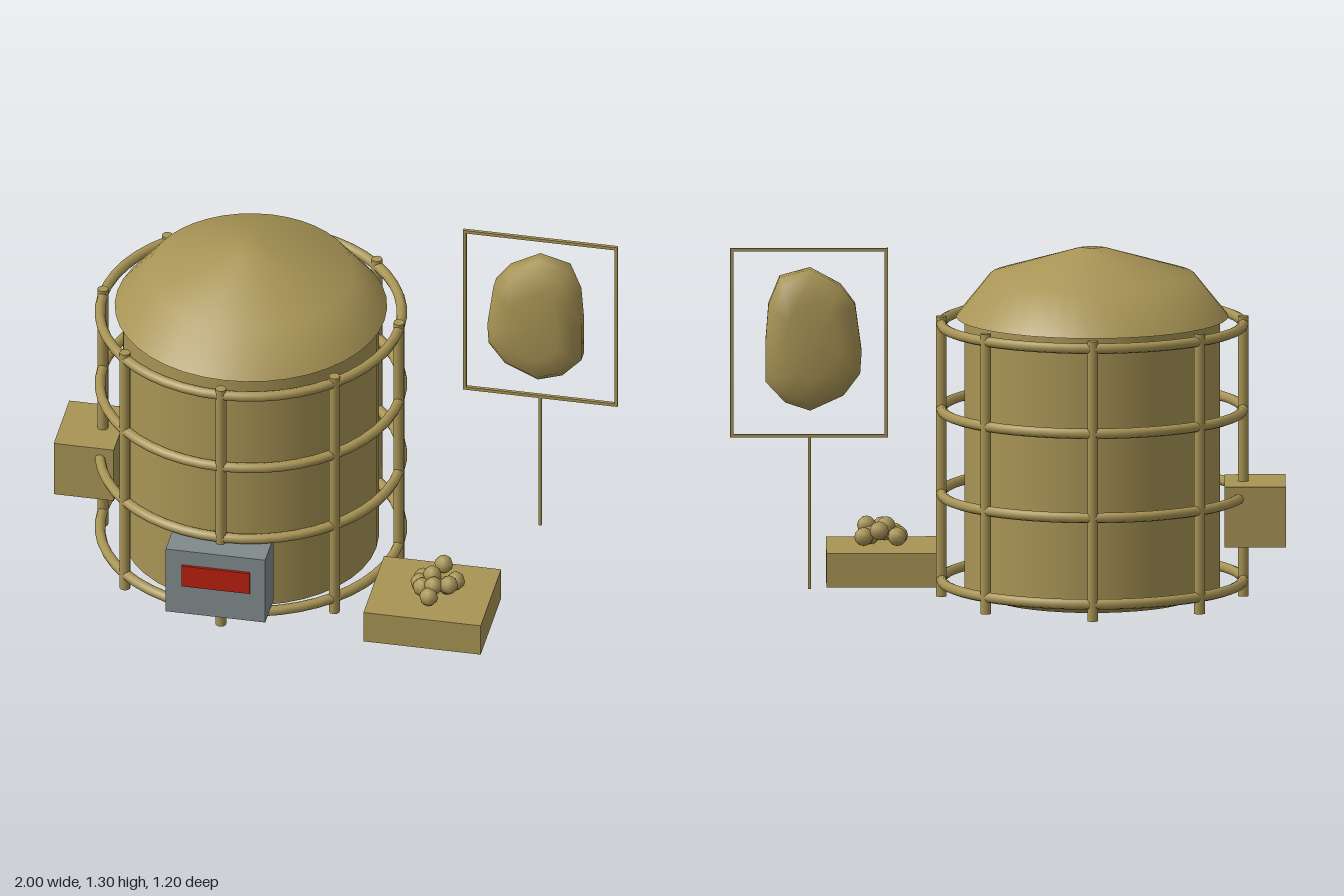
import * as THREE from 'three';

const brass = new THREE.MeshStandardMaterial({ color: 0xa89455 });
brass.name = 'brass';
const steel = new THREE.MeshStandardMaterial({ color: 0x808a8c });
steel.name = 'steel';
const red = new THREE.MeshStandardMaterial({ color: 0xb82010 });
red.name = 'red';

function add(parent, name, geometry, material, x = 0, y = 0, z = 0) {
  const mesh = new THREE.Mesh(geometry, material);
  mesh.name = name;
  mesh.position.set(x, y, z);
  parent.add(mesh);
  return mesh;
}

// Box given by its min and max corners
function box(parent, name, material, a, b) {
  const s = b.map((v, i) => v - a[i]);
  const c = b.map((v, i) => (v + a[i]) / 2);
  return add(parent, name, new THREE.BoxGeometry(...s), material, ...c);
}

const lathe = (pts) => new THREE.LatheGeometry(pts.map((p) => new THREE.Vector2(...p)), 40);

// Closed faceted stone lofted from scaled copies of one outline
function stoneGeometry() {
  const outline = [[0.71, 1.23], [0.6, 1.17], [0.548, 1.1], [0.525, 0.93], [0.53, 0.85], [0.59, 0.77],
    [0.71, 0.715], [0.8, 0.745], [0.87, 0.82], [0.87, 0.97], [0.86, 1.1], [0.82, 1.2]];
  const cx = 0.7, cy = 0.97, n = outline.length;
  const rings = [[0.55, 0.08], [0.87, 0.062], [1, 0.025], [1, -0.025], [0.87, -0.062], [0.55, -0.08]];
  const pos = [], idx = [];
  for (const [s, z] of rings)
    for (const [x, y] of outline) pos.push((x - cx) * s, (y - cy) * s, z);
  for (let r = 0; r < rings.length - 1; r++)
    for (let i = 0; i < n; i++) {
      const a = r * n + i, b = r * n + (i + 1) % n;
      idx.push(a, a + n, b, b, a + n, b + n);
    }
  const front = pos.length / 3, back = front + 1, last = (rings.length - 1) * n;
  pos.push(0, 0, 0.084, 0, 0, -0.084);
  for (let i = 0; i < n; i++) {
    const j = (i + 1) % n;
    idx.push(front, i, j, back, last + j, last + i);
  }
  const g = new THREE.BufferGeometry();
  g.setAttribute('position', new THREE.Float32BufferAttribute(pos, 3));
  g.setIndex(idx);
  g.computeVertexNormals();
  return g;
}

export function createModel() {
  const model = new THREE.Group();
  model.name = 'cagedTank';

  // Tank with domed lid and shallow rounded base
  const tank = new THREE.Group();
  tank.name = 'tank';
  tank.position.set(-0.305, 0, -0.038);
  model.add(tank);
  add(tank, 'tankWall', new THREE.CylinderGeometry(0.46, 0.46, 0.99, 40, 1, true), brass, 0, 0.525, 0);
  add(tank, 'tankBase', lathe([[0, 0], [0.37, 0], [0.46, 0.03]]), brass);
  add(tank, 'lid', lathe([[0.49, 1.02], [0.37, 1.17], [0.06, 1.265], [0, 1.265]]), brass);
  add(tank, 'lidUnderside', lathe([[0.45, 1.02], [0.49, 1.02]]), brass);

  // Cage of hoops and posts
  const cage = new THREE.Group();
  cage.name = 'cage';
  tank.add(cage);
  const R = 0.543;
  for (const y of [0.06, 0.375, 0.682, 0.992])
    add(cage, 'hoop', new THREE.TorusGeometry(R, 0.019, 8, 48), brass, 0, y, 0).rotation.x = Math.PI / 2;
  for (let i = 0; i < 8; i++) {
    const a = i * Math.PI / 4;
    add(cage, 'post', new THREE.CylinderGeometry(0.02, 0.02, 1.02, 10), brass, R * Math.cos(a), 0.51, R * Math.sin(a));
  }

  // Control box with red display, and side box
  box(model, 'controlBox', steel, [-0.49, 0.085, 0.44], [-0.125, 0.355, 0.59]);
  box(model, 'display', red, [-0.43, 0.207, 0.59], [-0.18, 0.295, 0.599]);
  box(model, 'sideBox', brass, [-1, 0.2, -0.18], [-0.78, 0.42, 0.1]);

  // Tray with a pile of pellets
  box(model, 'tray', brass, [0.22, 0, 0.145], [0.65, 0.125, 0.515]);
  const pellets = [[0.46, 0.19, 0.247], [0.395, 0.16, 0.3], [0.515, 0.16, 0.3], [0.39, 0.16, 0.335],
    [0.435, 0.195, 0.33], [0.49, 0.16, 0.335], [0.405, 0.165, 0.37], [0.505, 0.19, 0.375], [0.44, 0.16, 0.42],
    [0.45, 0.185, 0.385]];
  for (const p of pellets) add(model, 'pellet', new THREE.SphereGeometry(0.034, 8, 6), brass, ...p);

  // Open sign frame on a thin pole, with a stone hung inside
  const sign = new THREE.Group();
  sign.name = 'sign';
  model.add(sign);
  const zs = [-0.261, -0.249];
  for (const x of [0.43, 0.985]) box(sign, 'frameSide', brass, [x, 0.615, zs[0]], [x + 0.012, 1.305, zs[1]]);
  for (const y of [0.615, 1.293]) box(sign, 'frameRail', brass, [0.43, y, zs[0]], [0.997, y + 0.012, zs[1]]);
  add(sign, 'pole', new THREE.CylinderGeometry(0.006, 0.006, 0.555, 8), brass, 0.712, 0.34, -0.255);
  add(sign, 'stone', stoneGeometry(), brass, 0.7, 0.97, -0.245);

  return model;
}
